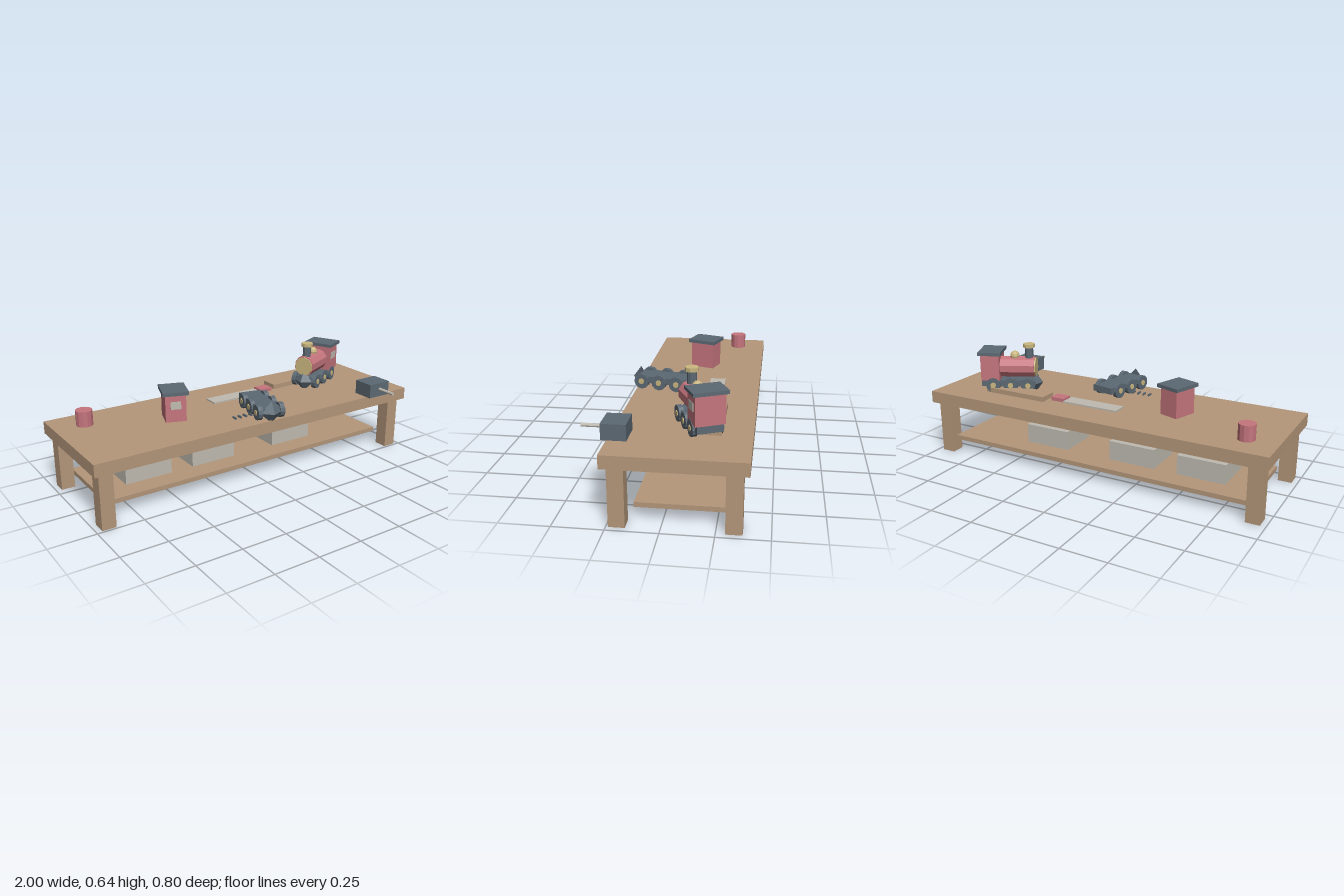
import * as THREE from 'three';

const mat = (name, color) => {
  const m = new THREE.MeshStandardMaterial({ color, flatShading: true });
  m.name = name;
  return m;
};

export function createModel() {
  const root = new THREE.Group();
  root.name = 'toyWorkbench';
  const wood = mat('wood', 0xb4977a);
  const red = mat('red paint', 0xc5757d);
  const slate = mat('slate', 0x5c6973);
  const brass = mat('brass', 0xcbb780);
  const grey = mat('pale grey', 0xbfbbb1);
  const TOP = 0.367; // height of the table surface

  const add = (parent, name, geo, material, x, y, z) => {
    const m = new THREE.Mesh(geo, material);
    m.name = name;
    m.position.set(x, y, z);
    parent.add(m);
    return m;
  };
  // box given by its minimum and maximum on each axis
  const box = (parent, name, material, x0, x1, y0, y1, z0, z1) =>
    add(parent, name, new THREE.BoxGeometry(x1 - x0, y1 - y0, z1 - z0), material,
      (x0 + x1) / 2, (y0 + y1) / 2, (z0 + z1) / 2);
  const cylX = (r, len, n) => new THREE.CylinderGeometry(r, r, len, n).rotateZ(Math.PI / 2);
  const cylZ = (r, len, n) => new THREE.CylinderGeometry(r, r, len, n).rotateX(Math.PI / 2);
  const group = (name, x, z, angle) => {
    const g = new THREE.Group();
    g.name = name;
    g.position.set(x, TOP, z);
    g.rotation.y = angle;
    root.add(g);
    return g;
  };

  // Table with legs, shelf and storage bins
  box(root, 'tableTop', wood, -1, 1, 0.3, TOP, -0.4, 0.267);
  for (const x of [-0.933, 0.933])
    for (const z of [-0.333, 0.2])
      box(root, 'tableLeg', wood, x - 0.0375, x + 0.0375, 0, 0.3, z - 0.039, z + 0.039);
  box(root, 'shelf', wood, -0.893, 0.893, 0.068, 0.093, -0.333, 0.133);
  for (const x of [-0.6, -0.202, 0.332])
    box(root, 'storageBin', grey, x - 0.134, x + 0.134, 0.093, 0.2, -0.216, 0.017);

  // Six-wheeled chassis, front towards local +z
  const chassis = (g) => {
    box(g, 'chassis', slate, -0.065, 0.065, 0.032, 0.068, -0.15, 0.15);
    for (const z of [-0.083, 0.017, 0.117])
      for (const s of [-1, 1]) {
        add(g, 'wheel', cylX(0.042, 0.026, 12), slate, s * 0.064, 0.042, z);
        add(g, 'wheelHub', cylX(0.016, 0.008, 8), brass, s * 0.077, 0.042, z);
      }
    add(g, 'frontGuard', new THREE.ConeGeometry(0.062, 0.045, 4).rotateX(Math.PI / 2),
      slate, 0, 0.043, 0.17);
  };

  // Unfinished chassis
  chassis(group('spareChassis', 0.046, 0.11, -0.2));

  // Toy engine
  const engine = group('engine', 0.632, -0.141, -1.13);
  chassis(engine);
  box(engine, 'cab', red, -0.075, 0.075, 0.068, 0.216, -0.15, -0.045);
  box(engine, 'cabRoof', slate, -0.0875, 0.0875, 0.216, 0.234, -0.162, -0.032);
  box(engine, 'cabWindow', grey, 0.074, 0.078, 0.137, 0.177, -0.127, -0.067);
  add(engine, 'boiler', cylZ(0.061, 0.198, 10), red, 0, 0.134, 0.052);
  add(engine, 'boilerFront', cylZ(0.056, 0.01, 10), brass, 0, 0.134, 0.153);
  add(engine, 'chimney', new THREE.CylinderGeometry(0.024, 0.024, 0.09, 10), slate, 0, 0.207, 0.118);
  add(engine, 'chimneyCap', new THREE.CylinderGeometry(0.034, 0.034, 0.02, 10), brass, 0, 0.26, 0.118);
  add(engine, 'steamDome', new THREE.SphereGeometry(0.027, 10, 6), brass, 0, 0.2, 0.035);

  // Spare cab
  const hut = group('spareCab', -0.395, -0.067, -0.33);
  box(hut, 'spareCabBody', red, -0.056, 0.056, 0, 0.148, -0.068, 0.068);
  box(hut, 'spareCabRoof', slate, -0.07, 0.07, 0.148, 0.167, -0.0825, 0.0825);
  box(hut, 'spareCabWindow', grey, -0.028, 0.028, 0.07, 0.112, 0.067, 0.071);

  // Paint pot
  add(root, 'paintPot', new THREE.CylinderGeometry(0.045, 0.045, 0.083, 12), red,
    -0.835, TOP + 0.0415, -0.236);

  // Flat blade with its grip, and a wooden offcut
  box(root, 'blade', grey, -0.105, 0.226, TOP, TOP + 0.009, -0.21, -0.125);
  box(root, 'bladeGrip', red, 0.224, 0.305, TOP, TOP + 0.02, -0.205, -0.139);
  box(root, 'offcut', wood, 0.33, 0.715, TOP, TOP + 0.027, -0.253, -0.153);

  // Loose pins
  for (let i = 0; i < 4; i++) {
    const x = -0.136 + i * 0.0335;
    box(root, 'pin', slate, x - 0.004, x + 0.004, TOP, TOP + 0.01, 0.114, 0.147);
  }

  // Small clamp block with a projecting rod
  box(root, 'clampBlock', slate, 0.691, 0.835, TOP, 0.447, 0.172, 0.293);
  add(root, 'clampRod', cylZ(0.0095, 0.11, 8), grey, 0.765, 0.41, 0.345);

  return root;
}
